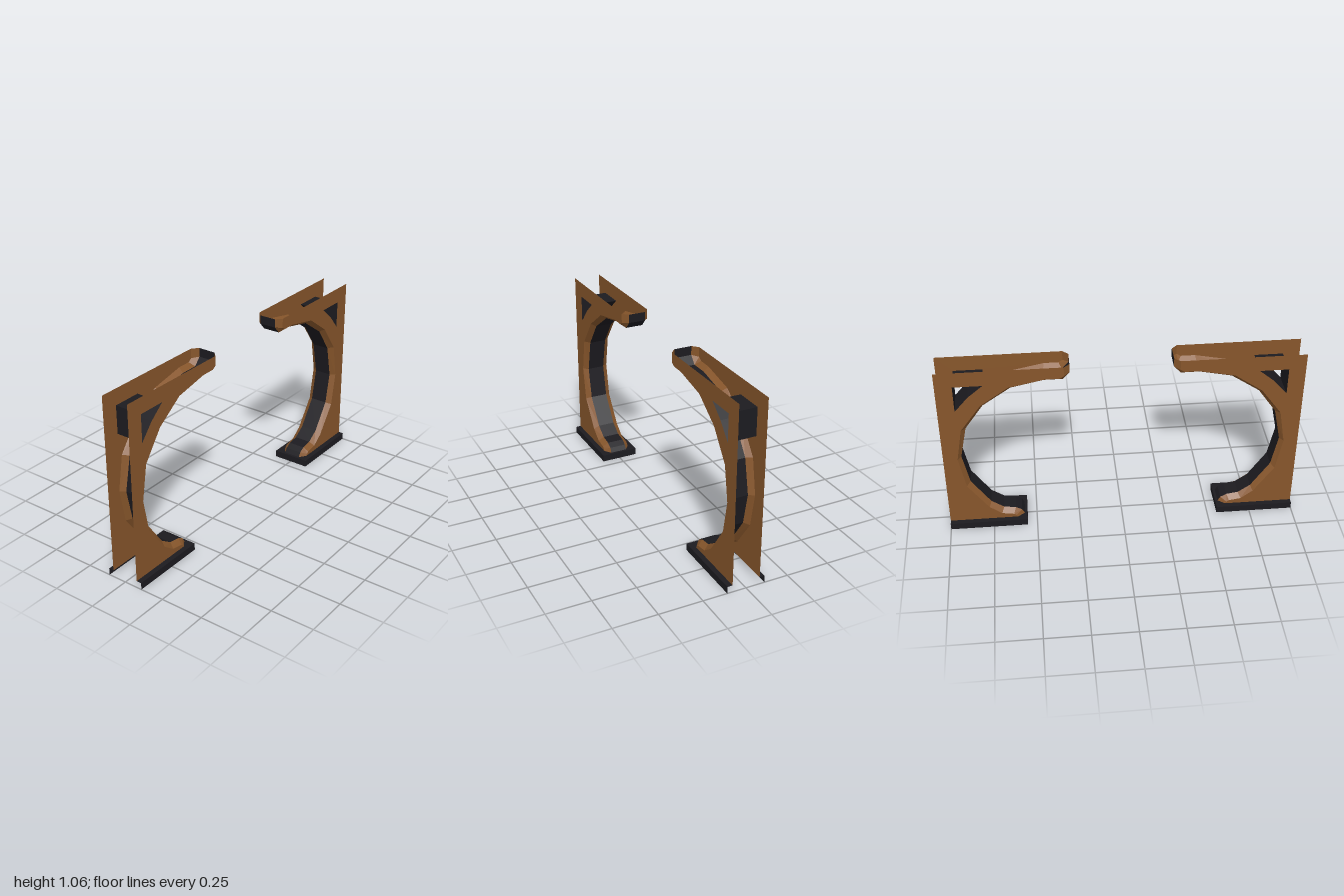
import * as THREE from 'three';

const wood = new THREE.MeshStandardMaterial({ color: 0x87562b, flatShading: true, side: THREE.DoubleSide });
const dark = new THREE.MeshStandardMaterial({ color: 0x1c1b20, flatShading: true, side: THREE.DoubleSide });

const SIDE = 0.08, CORE = 0.05, BASE = 0.11, FLOOR = 0.04, TOP = 1.06;

// Inner curve as [z, y], from the arm tip down to the foot: middle band, then side plate edge
const core = [[0.28, TOP], [0.28, 1.01], [0.318, 0.968], [0.42, 0.968], [0.6, 0.93], [0.757, 0.823], [0.86, 0.677],
  [0.9, 0.484], [0.864, 0.302], [0.757, 0.145], [0.687, 0.097], [0.62, 0.087], [0.585, 0.067], [0.57, FLOOR]];
const edge = [[0.312, TOP], [0.312, 1.005], [0.335, 0.99], [0.414, 0.99], [0.612, 0.95], [0.769, 0.84], [0.885, 0.682],
  [0.92, 0.484], [0.885, 0.29], [0.769, 0.125], [0.7, 0.073], [0.632, 0.062], [0.618, 0.052], [0.61, FLOOR]];
// Triangular cut-out in the upper corner
const cutout = [[0.746, 0.97], [0.906, 0.97], [0.906, 0.812], [0.83, 0.9]];

// Sheet spanned between two paths of 3D points
function ribbon(name, a, b, material) {
  const pos = [];
  for (let i = 0; i < a.length - 1; i++) {
    pos.push(...a[i], ...b[i], ...a[i + 1], ...b[i], ...b[i + 1], ...a[i + 1]);
  }
  const geo = new THREE.BufferGeometry();
  geo.setAttribute('position', new THREE.Float32BufferAttribute(pos, 3));
  geo.computeVertexNormals();
  const mesh = new THREE.Mesh(geo, material);
  mesh.name = name;
  return mesh;
}

const atX = (path, x) => path.map(([z, y]) => [x, y, z]);
const atY = (path, y) => path.map(([x, z]) => [x, y, z]);
const vectors = (path) => path.map(([u, v]) => new THREE.Vector2(u, v));

function createBracket() {
  const bracket = new THREE.Group();

  // Side plates with the triangular hole
  const shape = new THREE.Shape(vectors([...edge, [1, FLOOR], [1, TOP]]));
  shape.holes.push(new THREE.Path(vectors(cutout)));
  const plateGeo = new THREE.ShapeGeometry(shape).rotateY(-Math.PI / 2);
  for (const s of [-1, 1]) {
    const plate = new THREE.Mesh(plateGeo, wood);
    plate.name = s > 0 ? 'leftPlate' : 'rightPlate';
    plate.position.x = s * SIDE;
    bracket.add(plate);
  }

  // Curved inner band and its bevels
  bracket.add(
    ribbon('innerBand', atX(core, -CORE), atX(core, CORE), dark),
    ribbon('leftBevel', atX(core, CORE), atX(edge, SIDE), wood),
    ribbon('rightBevel', atX(edge, -SIDE), atX(core, -CORE), wood)
  );

  // Lining of the triangular hole, running between the plates
  const loop = [...cutout, cutout[0]];
  bracket.add(ribbon('cutoutLining', atX(loop, -SIDE), atX(loop, SIDE), dark));

  // Base trim, open at the back and underneath
  const inner = [[SIDE, 1], [SIDE, 0.61], [CORE, 0.57], [-CORE, 0.57], [-SIDE, 0.61], [-SIDE, 1]];
  const outer = [[BASE, 1], [BASE, 0.61], [BASE, 0.555], [-BASE, 0.555], [-BASE, 0.61], [-BASE, 1]];
  bracket.add(
    ribbon('baseLedge', atY(inner, FLOOR), atY(outer, FLOOR), dark),
    ribbon('baseSkirt', atY(outer, FLOOR), atY(outer, 0), dark)
  );
  return bracket;
}

export function createModel() {
  const model = new THREE.Group();
  model.name = 'bracketPair';
  const front = createBracket();
  front.name = 'frontBracket';
  const back = createBracket();
  back.name = 'backBracket';
  back.rotation.y = Math.PI;
  model.add(front, back);
  return model;
}
